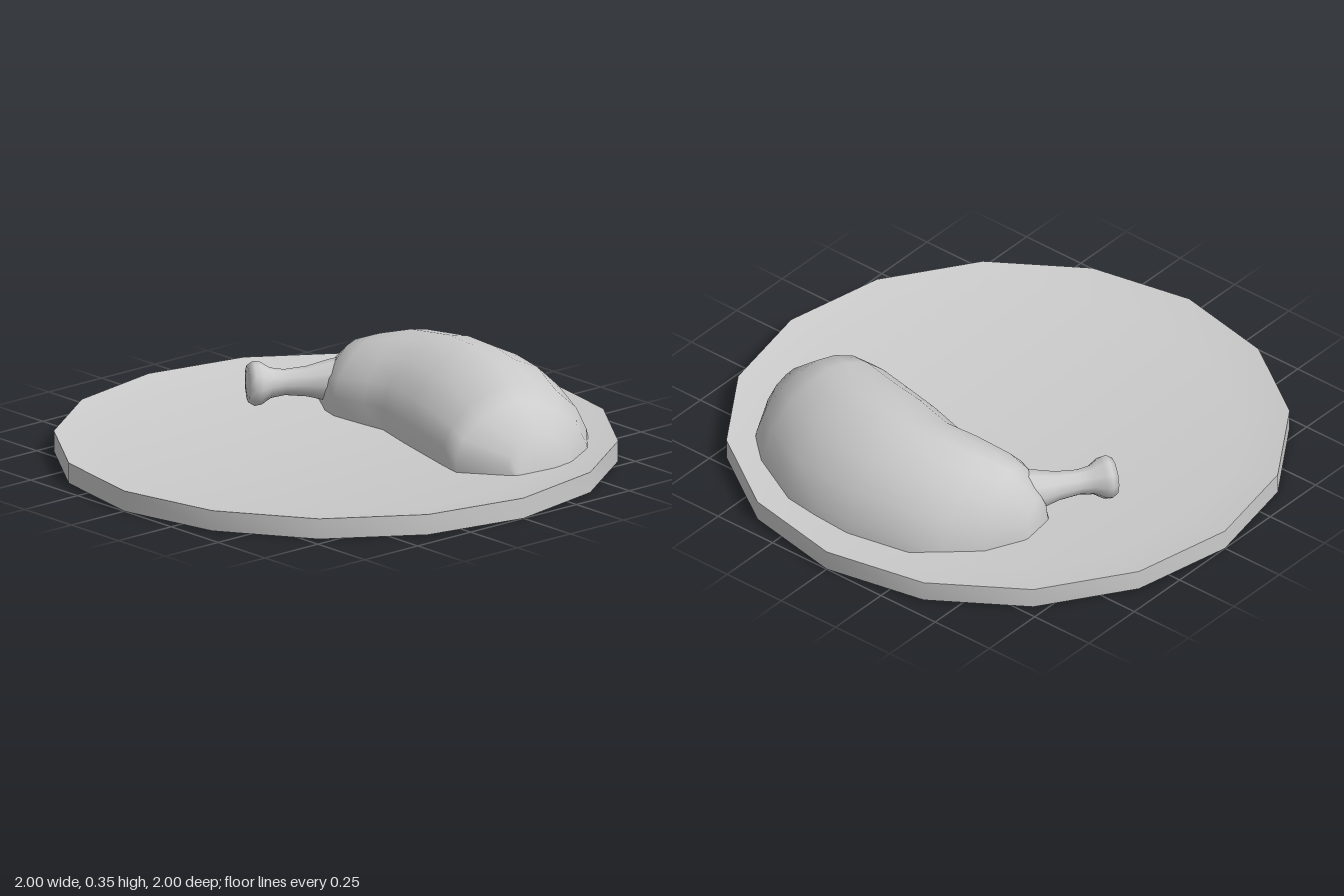
import * as THREE from 'three';
import { toCreasedNormals } from 'three/addons/utils/BufferGeometryUtils.js';

const material = new THREE.MeshStandardMaterial({ color: 0xcccccc, side: THREE.DoubleSide });
const points = (list) => list.map(([x, y]) => new THREE.Vector2(x, y));

// Skin over rows that run from the inner (-x) edge to the outer (+x) edge
function bodyGeometry() {
  const base = 0.03;
  // inner x, inner z, outer x, outer z, crest height
  const rows = [
    [0.31, -0.45, 0.45, -0.47, base],
    [0.31, -0.44, 0.47, -0.465, 0.17],
    [0.24, -0.33, 0.61, -0.4, 0.265],
    [0.22, -0.26, 0.71, -0.29, 0.3],
    [0.23, -0.12, 0.79, -0.2, 0.333],
    [0.24, -0.02, 0.84, 0.05, 0.345],
    [0.19, 0.15, 0.835, 0.2, 0.35],
    [0.15, 0.3, 0.82, 0.33, 0.335],
    [0.11, 0.45, 0.71, 0.55, 0.31],
    [0.09, 0.54, 0.61, 0.66, 0.27],
    [0.2, 0.69, 0.48, 0.73, 0.18],
    [0.23, 0.72, 0.47, 0.745, base],
  ];
  // across, up: steep inner wall, rounded outer flank
  const section = [[0, 0], [0, 0.3], [0.05, 0.55], [0.18, 0.8], [0.33, 0.95], [0.47, 1],
    [0.61, 0.94], [0.77, 0.78], [0.91, 0.5], [0.98, 0.2], [1, 0]];
  const n = section.length;
  const position = [], index = [];
  rows.forEach(([x0, z0, x1, z1, top], i) => {
    section.forEach(([u, v], k) => {
      position.push(x0 + (x1 - x0) * u, base + (top - base) * v, z0 + (z1 - z0) * u);
      if (i < rows.length - 1 && k < n - 1) {
        const a = i * n + k, b = a + 1, c = a + n, d = c + 1;
        index.push(a, c, b, b, c, d);
      }
    });
  });
  const geometry = new THREE.BufferGeometry();
  geometry.setAttribute('position', new THREE.Float32BufferAttribute(position, 3));
  geometry.setIndex(index);
  geometry.computeVertexNormals();
  return geometry;
}

export function createModel() {
  const group = new THREE.Group();
  const add = (name, geometry) => {
    const mesh = new THREE.Mesh(geometry, material);
    mesh.name = name;
    group.add(mesh);
    return mesh;
  };

  // Sixteen-sided plate with a shallow dish
  const plateProfile = points([[0, 0], [1, 0], [1, 0.075], [0.84, 0.047], [0, 0.042]]);
  add('plate', toCreasedNormals(new THREE.LatheGeometry(plateProfile, 16), 0.7));

  // Curved body resting on the plate
  add('body', bodyGeometry());

  // Flared stem ending in a knob
  const stemProfile = points([[0.085, -0.06], [0.075, 0], [0.054, 0.08], [0.046, 0.16],
    [0.054, 0.21], [0.076, 0.245], [0.08, 0.27], [0.066, 0.292], [0, 0.3]]);
  const stem = add('stem', new THREE.LatheGeometry(stemProfile, 10));
  stem.position.set(0.3, 0.133, -0.375);
  stem.quaternion.setFromUnitVectors(new THREE.Vector3(0, 1, 0),
    new THREE.Vector3(-0.84, 0, -0.55).normalize());

  return group;
}
